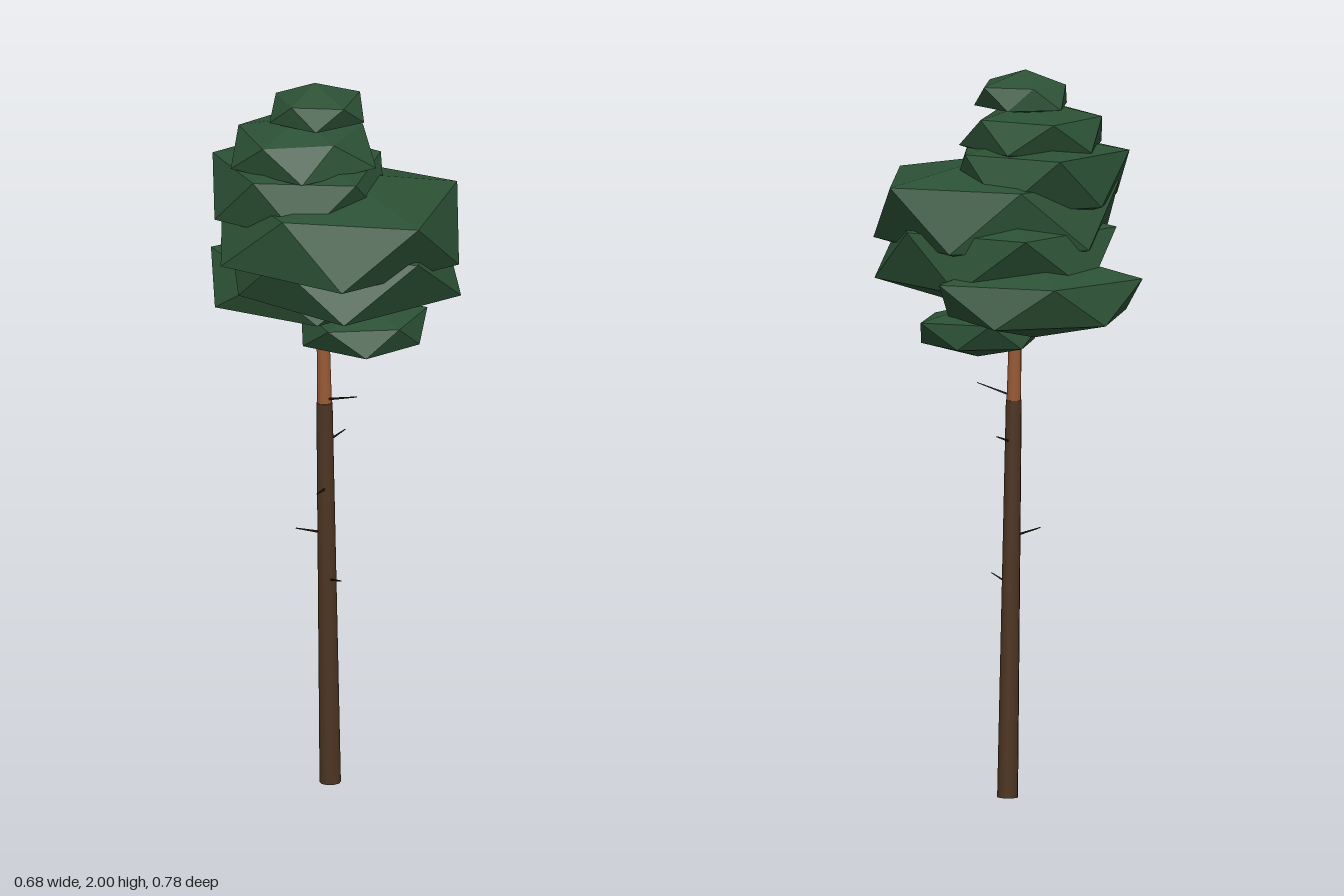
import * as THREE from 'three';

const mat = (name, color, flatShading) => {
  const m = new THREE.MeshStandardMaterial({ color, flatShading });
  m.name = name;
  return m;
};

// Tapered round piece running from point a to point b
function limb(name, a, b, ra, rb, sides, material) {
  const from = new THREE.Vector3(...a), to = new THREE.Vector3(...b);
  const dir = to.clone().sub(from);
  const mesh = new THREE.Mesh(new THREE.CylinderGeometry(rb, ra, dir.length(), sides), material);
  mesh.position.copy(from).addScaledVector(dir, 0.5);
  mesh.quaternion.setFromUnitVectors(new THREE.Vector3(0, 1, 0), dir.normalize());
  mesh.name = name;
  return mesh;
}

// Faceted leaf clump: two poles and a ring of ten points at even angles
// that alternates between an upper and a lower height
function clump(name, { x, z, y: [top, upper, lower, bottom], radii }, material) {
  const ringPoint = k => {
    const i = k % 10, a = i * Math.PI / 5;
    return [x + radii[i] * Math.cos(a), i % 2 ? lower : upper, z + radii[i] * Math.sin(a)];
  };
  const pos = [];
  for (let i = 0; i < 10; i += 2) {
    const [u0, l0, u1, l1] = [0, 1, 2, 3].map(k => ringPoint(i + k));
    pos.push(x, top, z, ...u1, ...u0);
    pos.push(...u0, ...u1, ...l0);
    pos.push(...u1, ...l1, ...l0);
    pos.push(x, bottom, z, ...l0, ...l1);
  }
  const geo = new THREE.BufferGeometry();
  geo.setAttribute('position', new THREE.Float32BufferAttribute(pos, 3));
  geo.computeVertexNormals();
  const mesh = new THREE.Mesh(geo, material);
  mesh.name = name;
  return mesh;
}

// Leaf clumps from the tip down: centre, four heights and ring radii
const CLUMPS = [
  { x: -0.045, z: -0.02, y: [2, 1.96, 1.9, 1.88],
    radii: [0.13, 0.14, 0.13, 0.125, 0.11, 0.13, 0.11, 0.13, 0.1, 0.12] },
  { x: -0.09, z: -0.01, y: [1.91, 1.87, 1.785, 1.72],
    radii: [0.18, 0.215, 0.15, 0.205, 0.18, 0.2, 0.175, 0.195, 0.2, 0.205] },
  { x: -0.09, z: -0.02, y: [1.82, 1.78, 1.64, 1.58],
    radii: [0.235, 0.245, 0.255, 0.25, 0.22, 0.243, 0.245, 0.225, 0.26, 0.26] },
  { x: 0, z: 0.05, y: [1.76, 1.695, 1.53, 1.44],
    radii: [0.34, 0.34, 0.356, 0.335, 0.27, 0.34, 0.33, 0.33, 0.29, 0.33] },
  { x: 0.02, z: 0.01, y: [1.65, 1.575, 1.425, 1.33],
    radii: [0.29, 0.34, 0.345, 0.345, 0.31, 0.295, 0.32, 0.325, 0.335, 0.29] },
  { x: 0, z: -0.145, y: [1.53, 1.45, 1.34, 1.285],
    radii: [0.3, 0.235, 0.255, 0.25, 0.25, 0.288, 0.295, 0.258, 0.258, 0.27] },
  { x: 0.09, z: 0.005, y: [1.365, 1.325, 1.255, 1.22],
    radii: [0.18, 0.155, 0.155, 0.165, 0.175, 0.178, 0.18, 0.16, 0.158, 0.14] },
];

// Dead twigs: root and tip
const TWIGS = [
  [[-0.03, 1.1, 0.02], [0.03, 1.13, 0.11]],
  [[-0.03, 0.973, 0.018], [0.037, 0.997, -0.005]],
  [[-0.028, 0.843, 0.02], [-0.09, 0.87, 0.127]],
  [[-0.026, 0.715, 0.021], [-0.11, 0.735, 0.01]],
  [[-0.024, 0.582, 0.023], [-0.015, 0.605, 0.11]],
];

export function createModel() {
  const tree = new THREE.Group();
  tree.name = 'tree';
  const bark = mat('dark bark', 0x4d3522, false);
  const upperBark = mat('orange bark', 0x995a35, false);
  const dead = mat('dead wood', 0x2c221b, false);
  const needles = mat('needles', 0x2c5135, true);

  // Leaning trunk, with lighter bark up into the crown
  tree.add(limb('lowerTrunk', [-0.018, 0, 0.03], [-0.03, 1.09, 0.017], 0.029, 0.022, 10, bark));
  tree.add(limb('upperTrunk', [-0.03, 1.09, 0.017], [-0.04, 1.9, 0], 0.02, 0.01, 10, upperBark));

  const twigs = new THREE.Group();
  twigs.name = 'twigs';
  TWIGS.forEach(([a, b], i) => twigs.add(limb(`twig${i + 1}`, a, b, 0.004, 0.0015, 4, dead)));
  tree.add(twigs);

  const crown = new THREE.Group();
  crown.name = 'crown';
  CLUMPS.forEach((c, i) => crown.add(clump(`leafClump${i + 1}`, c, needles)));
  tree.add(crown);
  return tree;
}
